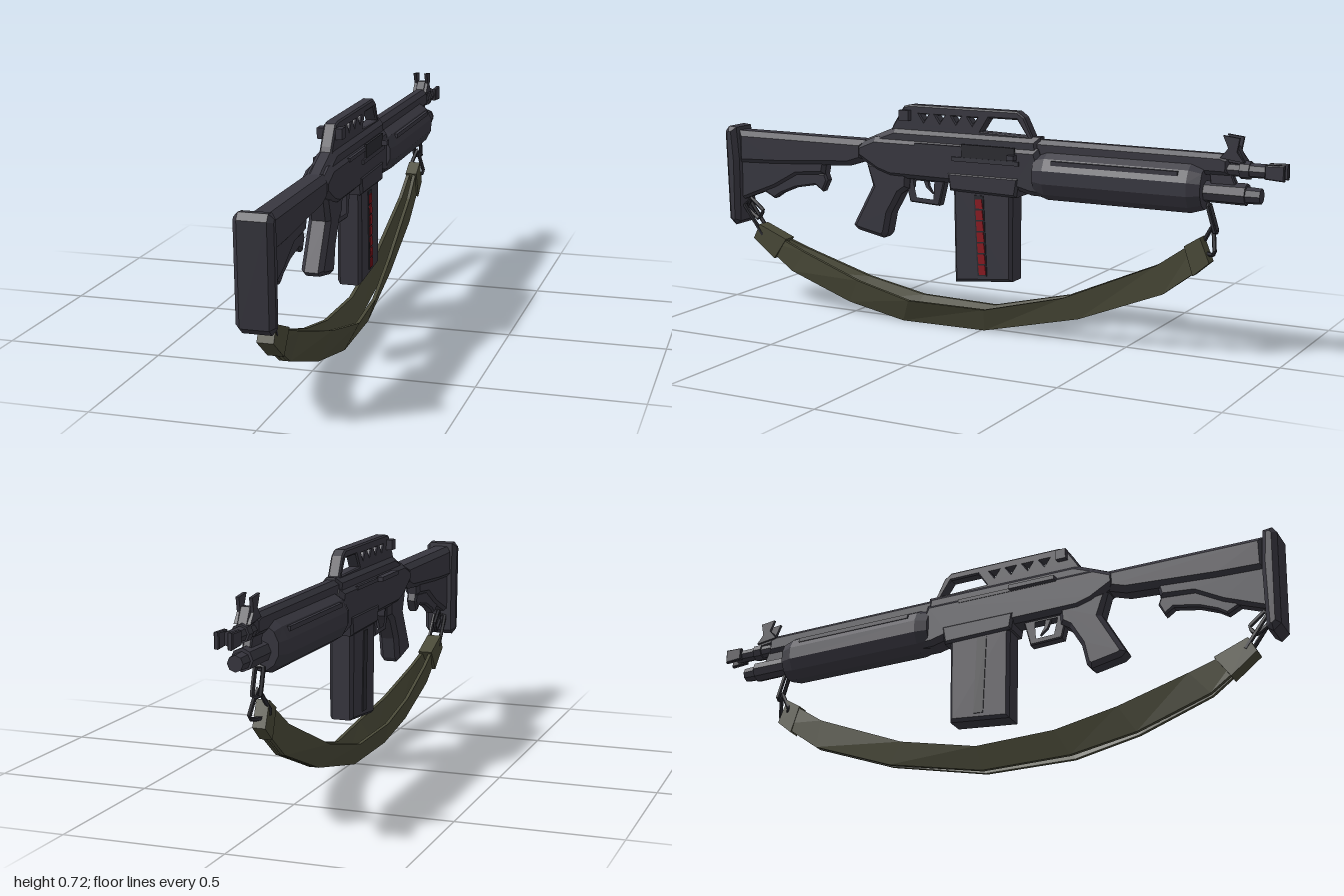
import * as THREE from 'three';

const mat = (name, color) => {
  const m = new THREE.MeshStandardMaterial({ color, flatShading: true });
  m.name = name;
  return m;
};

export function createModel() {
  const gun = mat('gunmetal', 0x383740);
  const dark = mat('dark metal', 0x2a2a30);
  const olive = mat('olive webbing', 0x4a4a38);
  const red = mat('red cartridges', 0x8a1820);

  const model = new THREE.Group();
  const body = new THREE.Group();
  body.name = 'weaponBody';
  body.position.x = -0.005;
  model.add(body);

  const add = (name, geo, m = gun, parent = body) => {
    const mesh = new THREE.Mesh(geo, m);
    mesh.name = name;
    parent.add(mesh);
    return mesh;
  };

  // Side profile given as [z, y], extruded across x to width w
  const side = (name, pts, w, bevel = 0.01, x = 0, m = gun, holes = []) => {
    const v = (p) => p.map(([a, b]) => new THREE.Vector2(a, b));
    const shape = new THREE.Shape(v(pts));
    holes.forEach((h) => shape.holes.push(new THREE.Path(v(h))));
    const geo = new THREE.ExtrudeGeometry(shape, {
      depth: w - 2 * bevel, bevelEnabled: bevel > 0, bevelSegments: 1,
      bevelSize: bevel, bevelThickness: bevel, bevelOffset: -bevel,
    });
    geo.translate(0, 0, bevel - w / 2).rotateY(-Math.PI / 2).translate(x, 0, 0);
    return add(name, geo, m);
  };

  // Skin over rings of points, running from +z to -z, each counter-clockwise seen from +z
  const loft = (rings) => {
    const n = rings[0].length, idx = [], last = (rings.length - 1) * n;
    for (let i = 0; i < rings.length - 1; i++) {
      for (let k = 0; k < n; k++) {
        const a = i * n + k, b = i * n + (k + 1) % n;
        idx.push(a, a + n, b + n, a, b + n, b);
      }
    }
    for (let k = 1; k < n - 1; k++) {
      idx.push(0, k, k + 1, last, last + k + 1, last + k);
    }
    const geo = new THREE.BufferGeometry();
    geo.setAttribute('position', new THREE.Float32BufferAttribute(rings.flat(2), 3));
    geo.setIndex(idx);
    const flat = geo.toNonIndexed();
    flat.computeVertexNormals();
    return flat;
  };

  const tube = (name, y, z0, z1, r0, r1, sides = 8, m = gun) =>
    add(name, new THREE.CylinderGeometry(r0, r1, z0 - z1, sides)
      .rotateX(Math.PI / 2).translate(0, y, (z0 + z1) / 2), m);

  const wire = (name, pts, r = 0.007, closed = true) => {
    const curve = new THREE.CatmullRomCurve3(
      pts.map((p) => new THREE.Vector3(...p)), closed, 'catmullrom', 0.1);
    return add(name, new THREE.TubeGeometry(curve, pts.length * 4, r, 5, closed), dark);
  };

  const box = (name, w, h, d, x, y, z, m = gun) =>
    add(name, new THREE.BoxGeometry(w, h, d).translate(x, y, z), m);

  // Stock
  side('buttPlate', [[1, 0.595], [0.985, 0.615], [0.955, 0.612], [0.945, 0.5], [0.945, 0.285],
    [0.965, 0.27], [0.99, 0.29]], 0.116, 0.015);
  side('stockTube', [[0.955, 0.6], [0.44, 0.6], [0.44, 0.53], [0.5, 0.51], [0.8, 0.49], [0.955, 0.485]],
    0.082, 0.018);
  side('stockLower', [[0.955, 0.52], [0.6, 0.52], [0.61, 0.47], [0.72, 0.46], [0.81, 0.41], [0.955, 0.355]],
    0.055, 0.012);
  side('stockLever', [[0.83, 0.46], [0.61, 0.475], [0.6, 0.45], [0.62, 0.41], [0.65, 0.43], [0.73, 0.415],
    [0.79, 0.39], [0.82, 0.37], [0.86, 0.39]], 0.036, 0.006);

  // Receiver
  side('lowerReceiver', [[0.47, 0.585], [0.4, 0.615], [-0.2, 0.615], [-0.22, 0.56], [-0.22, 0.465],
    [-0.18, 0.465], [-0.12, 0.48], [0.34, 0.485], [0.39, 0.5], [0.47, 0.545]], 0.088, 0.016);
  side('upperReceiver', [[0.45, 0.6], [0.33, 0.65], [-0.2, 0.65], [-0.21, 0.58], [0.42, 0.56]], 0.066, 0.018);
  side('magazineWell', [[0.12, 0.52], [-0.14, 0.52], [-0.13, 0.455], [0.11, 0.46]], 0.096, 0.008);
  box('ejectionPort', 0.008, 0.045, 0.19, 0.045, 0.592, -0.03, dark);
  box('portCover', 0.012, 0.014, 0.24, 0.044, 0.565, -0.02);
  box('receiverRail', 0.092, 0.012, 0.32, 0, 0.6, 0.08);
  box('boltHandle', 0.03, 0.016, 0.025, 0.053, 0.585, -0.12);
  box('selectorLever', 0.022, 0.014, 0.16, -0.052, 0.602, 0.19);

  // Carry handle with sight cut-outs
  const cuts = [0.22, 0.16, 0.1, 0.04].map((z) =>
    [[z + 0.016, 0.698], [z - 0.016, 0.698], [z, 0.676]]);
  cuts.push([[0.01, 0.655], [-0.02, 0.7], [-0.12, 0.7], [-0.155, 0.65]]);
  side('carryHandle', [[0.35, 0.63], [0.335, 0.66], [0.295, 0.722], [0.27, 0.727], [-0.12, 0.727],
    [-0.145, 0.71], [-0.185, 0.63]], 0.04, 0.005, 0, gun, cuts);
  box('rearSight', 0.08, 0.034, 0.035, 0, 0.693, 0.285);

  // Trigger group and grip
  side('triggerGuard', [[0.3, 0.5], [0.275, 0.405], [0.165, 0.4], [0.14, 0.5]], 0.036, 0.004, 0, gun,
    [[[0.267, 0.482], [0.252, 0.418], [0.182, 0.415], [0.178, 0.482]]]);
  side('trigger', [[0.235, 0.49], [0.215, 0.49], [0.21, 0.46], [0.195, 0.435], [0.22, 0.455]], 0.012, 0);
  side('pistolGrip', [[0.44, 0.53], [0.415, 0.45], [0.492, 0.31], [0.475, 0.295], [0.375, 0.275],
    [0.36, 0.29], [0.345, 0.36], [0.305, 0.43], [0.275, 0.45], [0.27, 0.51]], 0.07, 0.014);

  // Magazine with witness strip
  side('magazine', [[0.102, 0.49], [-0.112, 0.49], [-0.112, 0.178], [0.096, 0.158]], 0.08, 0.01);
  side('magazineSlot', [[0.022, 0.452], [-0.012, 0.452], [-0.025, 0.19], [0.009, 0.188]], 0.086, 0, 0, dark);
  for (let i = 0; i < 7; i++) {
    const y = 0.425 - i * 0.036, z = 0.003 - i * 0.002;
    side('cartridge', [[z + 0.014, y + 0.014], [z - 0.01, y + 0.016], [z - 0.014, y - 0.014],
      [z + 0.011, y - 0.016]], 0.006, 0, 0.043, red);
  }

  // Fore-end
  const ring = (z, hw, hh, cy = 0.532) => Array.from({ length: 12 }, (_, k) => {
    const a = (k + 0.5) / 12 * Math.PI * 2;
    return [Math.cos(a) * hw * 1.03, cy + Math.sin(a) * hh * 1.03, z];
  });
  add('handguard', loft([ring(-0.19, 0.056, 0.066), ring(-0.23, 0.068, 0.078),
    ring(-0.71, 0.068, 0.078), ring(-0.75, 0.055, 0.066)]));
  [-1, 1].forEach((s) => box('handguardRib', 0.012, 0.014, 0.42, s * 0.056, 0.578, -0.47));
  side('barrelShroud', [[-0.18, 0.643], [-0.8, 0.64], [-0.83, 0.63], [-0.83, 0.575], [-0.18, 0.575]],
    0.05, 0.014);
  tube('magazineTube', 0.522, -0.72, -0.88, 0.032, 0.034);
  tube('tubeCap', 0.52, -0.86, -0.925, 0.027, 0.024);
  side('barrelClamp', [[-0.76, 0.6], [-0.83, 0.59], [-0.85, 0.545], [-0.77, 0.52]], 0.026, 0.004);

  // Muzzle and front sight
  tube('muzzle', 0.596, -0.8, -0.965, 0.022, 0.022);
  tube('muzzleCollar', 0.596, -0.86, -0.89, 0.028, 0.028);
  [-1, 1].forEach((s) => {
    side('muzzleProng', [[-0.94, 0.618], [-1, 0.62], [-1, 0.572], [-0.94, 0.576]], 0.016, 0.003, s * 0.02);
    side('sightEar', [[-0.8, 0.63], [-0.825, 0.66], [-0.808, 0.698], [-0.86, 0.692], [-0.852, 0.65],
      [-0.875, 0.62]], 0.01, 0, s * 0.02);
  });
  side('sightPost', [[-0.79, 0.62], [-0.83, 0.665], [-0.85, 0.665], [-0.88, 0.61]], 0.034, 0.004);

  // Sling loops
  wire('rearLoop', [[-0.02, 0.34, 0.945], [0.02, 0.34, 0.945], [0.02, 0.24, 0.87], [-0.02, 0.24, 0.87]]);
  wire('rearSwivel', [[0, 0.36, 0.93], [0, 0.325, 0.95], [0, 0.29, 0.9], [0, 0.32, 0.88]]);
  wire('frontSwivel', [[-0.012, 0.48, -0.76], [0.012, 0.48, -0.76], [0.012, 0.4, -0.785], [-0.012, 0.4, -0.785]]);
  wire('frontLoop', [[0, 0.42, -0.775], [0.022, 0.335, -0.79], [0, 0.33, -0.76], [-0.022, 0.345, -0.73]]);

  // Sling stations: top z, y, then bottom z, y, then top and bottom x of each layer
  const stations = [
    [0.87, 0.258, 0.895, 0.222, 0.004, 0.004, -0.014, -0.014],
    [0.69, 0.195, 0.75, 0.122, 0.02, 0.01, -0.026, -0.012],
    [0.46, 0.125, 0.51, 0.042, 0.045, 0.018, -0.035, -0.01],
    [0.25, 0.085, 0.29, 0.006, 0.068, 0.032, -0.036, -0.008],
    [-0.02, 0.08, -0.01, 0.006, 0.045, 0.022, -0.034, -0.008],
    [-0.29, 0.145, -0.34, 0.08, 0.022, 0.008, -0.03, -0.012],
    [-0.6, 0.28, -0.62, 0.19, 0.008, 0.002, -0.022, -0.016],
    [-0.735, 0.375, -0.765, 0.3, 0.002, 0.002, -0.016, -0.016],
  ];
  const strap = (name, col, t, rows) => add(name, loft(rows.map((s) => [
    [s[col] - t, s[1], s[0]], [s[col + 1] - t, s[3], s[2]],
    [s[col + 1] + t, s[3], s[2]], [s[col] + t, s[1], s[0]],
  ])), olive, model);
  strap('slingOuterLayer', 4, 0.006, stations);
  strap('slingInnerLayer', 6, 0.006, stations);

  // Folded webbing ends
  strap('slingRearKeeper', 4, 0.025, [[0.88, 0.275, 0.905, 0.225, -0.005, -0.005],
    [0.77, 0.232, 0.82, 0.16, -0.004, -0.004]]);
  strap('slingFrontKeeper', 4, 0.02, [[-0.69, 0.35, -0.72, 0.26, -0.006, -0.006],
    [-0.74, 0.382, -0.772, 0.305, -0.006, -0.006]]);

  return model;
}
